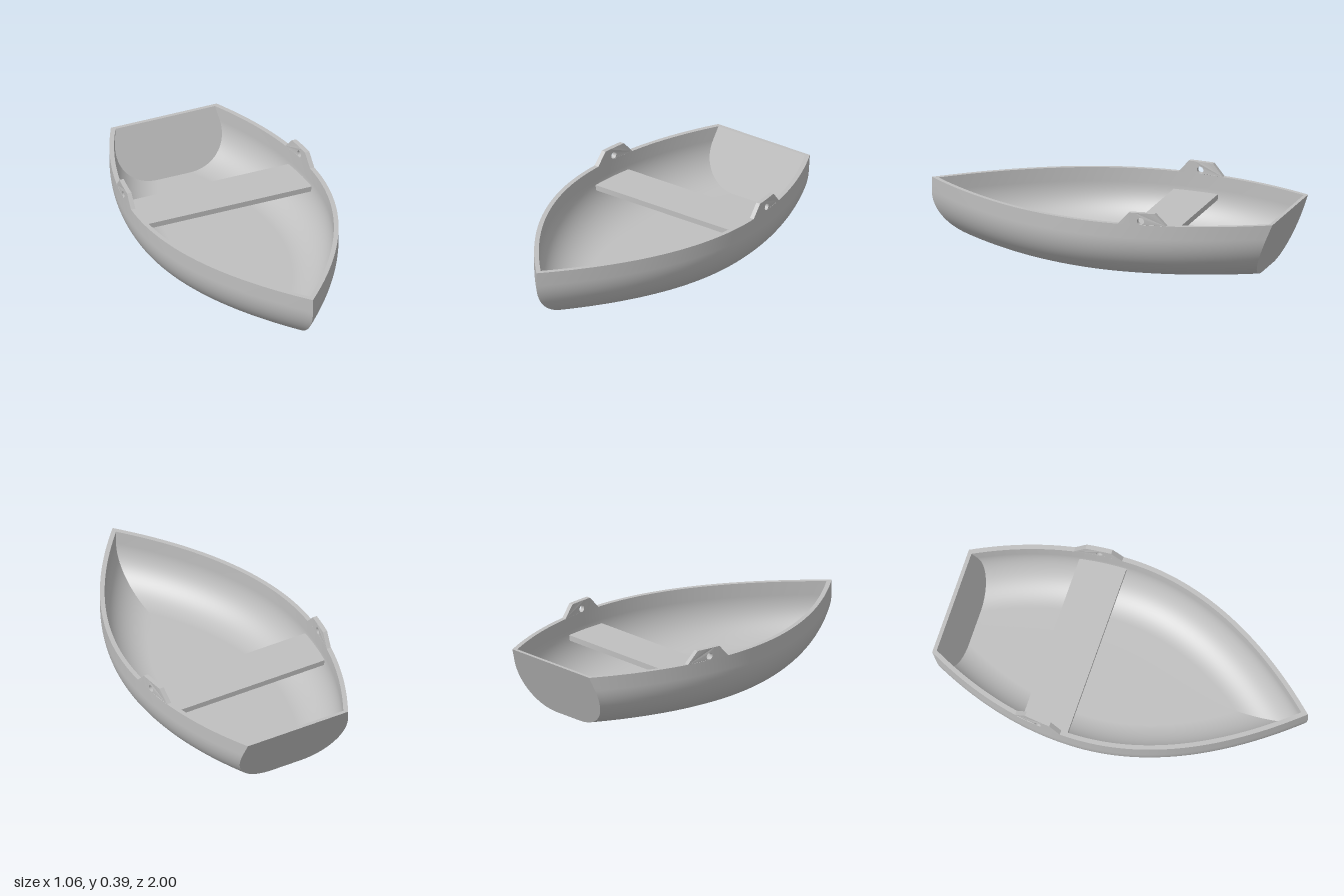
import * as THREE from 'three';

const RIM = 0.326, TURN = 0.25, WALL = 0.025;
const WIDEST = -0.16; // z of the widest station

// Half width of the outer rim at z, and its slope
const coef = z => (z > WIDEST ? 0.53 / 1.16 ** 2 : 0.225 / 0.84 ** 2);
const halfWidth = z => 0.53 - coef(z) * (z - WIDEST) ** 2;

// Rim point at station z, moved inward by o along the plan normal
function inset(z, o) {
  const s = -2 * coef(z) * (z - WIDEST), l = Math.hypot(1, s);
  return [halfWidth(z) - o / l, z + (s * o) / l];
}

function bisect(f, lo, hi) {
  const sign = Math.sign(f(lo));
  for (let i = 0; i < 40; i++) {
    const mid = (lo + hi) / 2;
    if (Math.sign(f(mid)) === sign) lo = mid; else hi = mid;
  }
  return (lo + hi) / 2;
}

// One level of the shell, from the bow centreline to the raked transom
function level(y, o, inner) {
  const n = 56, end = -1 + inner * 0.02 + 0.125 * (1 - y / RIM);
  const bow = bisect(z => inset(z, o)[0], -0.1, 1.1);
  const stern = bisect(z => inset(z, o)[1] - end, -1.5, -0.3);
  const row = [];
  for (let i = 0; i <= n; i++) {
    const [x, z] = inset(bow + (stern - bow) * (i / n), o);
    row.push([i === 0 ? 0 : x, y, z]);
  }
  return row;
}

// Levels from the rim, down the wall, round the bilge
function levels(inner) {
  const o = inner * WALL, r = TURN - o, rows = [level(RIM, o, inner)];
  for (let j = 0; j <= 20; j++) {
    const a = (j / 20) * Math.PI / 2;
    rows.push(level(TURN - r * Math.sin(a), TURN - r * Math.cos(a), inner));
  }
  return rows;
}

// Grid of points made into a surface, mirrored to both sides
function mirroredGrid(rows, flip) {
  const pos = [], idx = [], w = rows[0].length, count = rows.length * w;
  [1, -1].forEach((side, k) => {
    rows.forEach(row => row.forEach(([x, y, z]) => pos.push(side * x, y, z)));
    for (let j = 0; j < rows.length - 1; j++) {
      for (let i = 0; i < w - 1; i++) {
        const a = k * count + j * w + i, b = a + w, c = a + 1, d = b + 1;
        if (flip === (side > 0)) idx.push(a, c, b, c, d, b);
        else idx.push(a, b, c, c, b, d);
      }
    }
  });
  const g = new THREE.BufferGeometry();
  g.setAttribute('position', new THREE.Float32BufferAttribute(pos, 3));
  g.setIndex(idx);
  g.computeVertexNormals();
  return g;
}

const toCentre = row => row.map(([, y, z]) => [0, y, z]);
const sternOf = row => {
  const p = row[row.length - 1];
  return [p, [0, p[1], p[2]]];
};

// Oarlock plate with a hole, bent along the rim
function oarlockGeometry(side) {
  const s = new THREE.Shape();
  s.moveTo(-0.47, RIM);
  for (let i = 1; i <= 8; i++) s.lineTo(-0.47 + (i / 8) * 0.26, RIM);
  for (let i = 0; i <= 4; i++) s.lineTo(-0.27 - (i / 4) * 0.14, 0.392);
  s.closePath();
  const hole = new THREE.Path();
  hole.absarc(-0.335, 0.347, 0.019, 0, Math.PI * 2, true);
  s.holes.push(hole);
  const g = new THREE.ExtrudeGeometry(s, { depth: WALL, bevelEnabled: false, curveSegments: 12 });
  const p = g.attributes.position;
  for (let i = 0; i < p.count; i++) {
    const z = p.getX(i), t = p.getZ(i), w = halfWidth(z);
    p.setXYZ(i, side > 0 ? w - t : WALL - w - t, p.getY(i), z);
  }
  g.computeVertexNormals();
  return g;
}

// Plank whose ends follow the hull sides
function seatGeometry() {
  const g = new THREE.BoxGeometry(2, 0.03, 0.255, 1, 1, 6);
  g.translate(0, 0.213, -0.3125);
  const p = g.attributes.position;
  for (let i = 0; i < p.count; i++) p.setX(i, p.getX(i) * (halfWidth(p.getZ(i)) - 0.02));
  g.computeVertexNormals();
  return g;
}

export function createModel() {
  const model = new THREE.Group();
  model.name = 'rowingBoat';
  const grey = new THREE.MeshStandardMaterial({ color: 0xbfbfbf });
  grey.name = 'grey';
  const add = (name, geometry) => {
    const mesh = new THREE.Mesh(geometry, grey);
    mesh.name = name;
    model.add(mesh);
  };

  // Outer and inner shells, each with its transom face
  const shells = [levels(0), levels(1)];
  shells.forEach((rows, inner) => {
    const label = inner ? 'inner' : 'outer';
    add(label + 'Hull', mirroredGrid([...rows, toCentre(rows[rows.length - 1])], inner === 1));
    add(label + 'Transom', mirroredGrid(rows.map(sternOf), inner === 1));
  });

  // Flat rim joining the shells
  const tops = shells.map(rows => rows[0]);
  add('rim', mirroredGrid(tops, true));
  add('sternRim', mirroredGrid(tops.map(sternOf), true));

  add('seat', seatGeometry());
  add('leftOarlock', oarlockGeometry(1));
  add('rightOarlock', oarlockGeometry(-1));
  return model;
}
